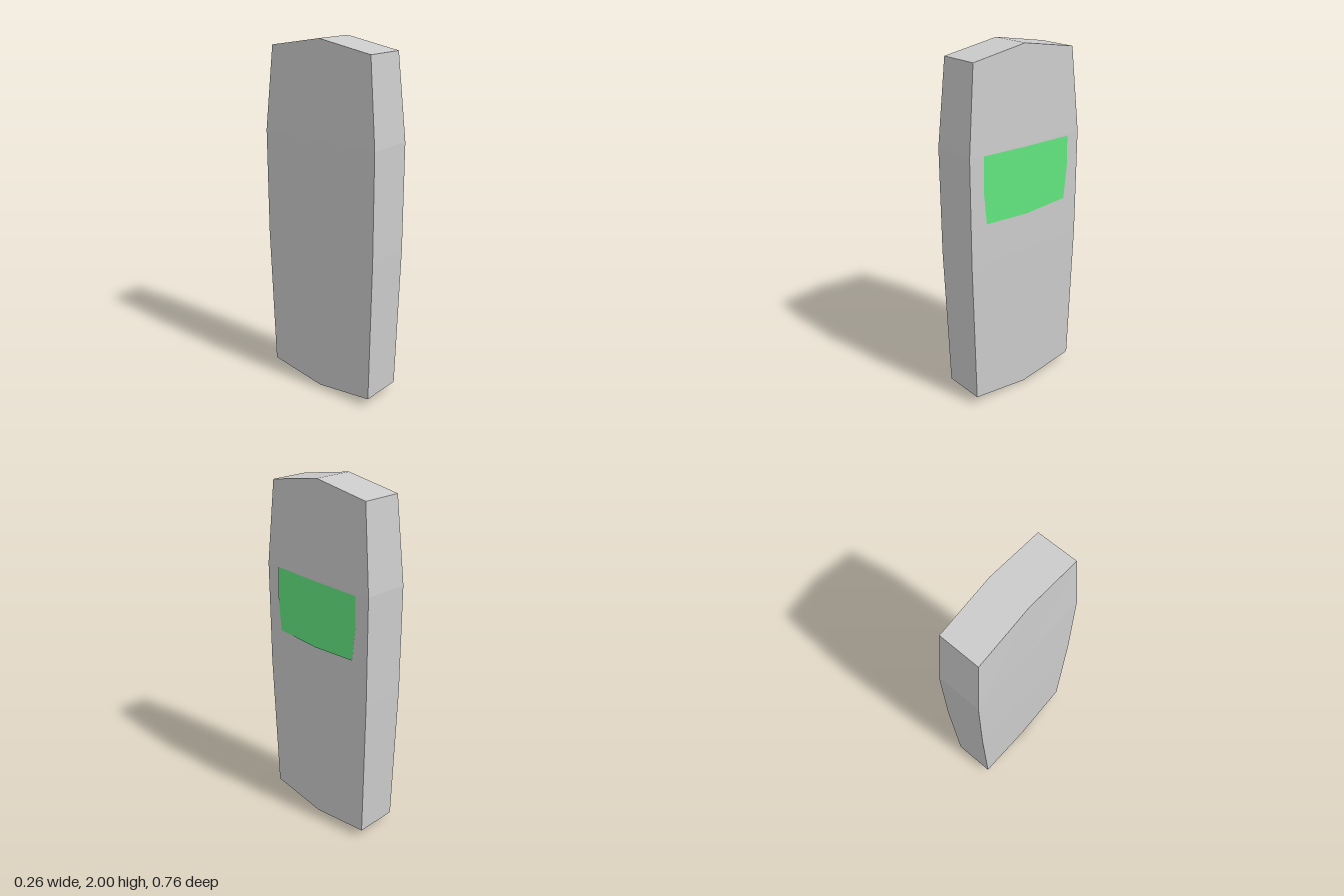
import * as THREE from 'three';

// Cross-sections from bottom to top: [edge y, centre y, half depth z, half thickness x]
const SECTIONS = [
  [0.05, 0, 0.358, 0.121],
  [0.88, 0.88, 0.38, 0.129],
  [1.48, 1.48, 0.38, 0.129],
  [1.945, 2, 0.334, 0.113],
];
const CENTRE_X = -0.004;

// Six-sided rings joined into a closed, faceted slab
function slabGeometry() {
  const positions = [];
  const index = [];
  for (const [edgeY, midY, z, x] of SECTIONS) {
    positions.push(
      CENTRE_X + x, edgeY, z, CENTRE_X + x, midY, 0, CENTRE_X + x, edgeY, -z,
      CENTRE_X - x, edgeY, -z, CENTRE_X - x, midY, 0, CENTRE_X - x, edgeY, z,
    );
  }
  const quad = (a, b, c, d) => index.push(a, b, c, a, c, d);
  for (let row = 0; row < SECTIONS.length - 1; row++) {
    for (let i = 0; i < 6; i++) {
      const a = row * 6 + i;
      const b = row * 6 + (i + 1) % 6;
      quad(a, b, b + 6, a + 6);
    }
  }
  // Shallow peaked ends
  const t = (SECTIONS.length - 1) * 6;
  quad(t, t + 1, t + 4, t + 5);
  quad(t + 1, t + 2, t + 3, t + 4);
  quad(5, 4, 1, 0);
  quad(4, 3, 2, 1);

  const geometry = new THREE.BufferGeometry();
  geometry.setAttribute('position', new THREE.Float32BufferAttribute(positions, 3));
  geometry.setIndex(index);
  const flat = geometry.toNonIndexed();
  flat.computeVertexNormals();
  return flat;
}

export function createModel() {
  const group = new THREE.Group();
  group.name = 'shieldPanel';

  const body = new THREE.Mesh(
    slabGeometry(),
    new THREE.MeshStandardMaterial({ color: 0xcccccc, flatShading: true }),
  );
  body.name = 'body';
  group.add(body);

  // Thin coloured window on the left face, outlined as [-z, y]
  const outline = [
    [-0.28, 1.105], [0, 1.09], [0.278, 1.107], [0.298, 1.29],
    [0.296, 1.468], [0, 1.47], [-0.292, 1.477], [-0.297, 1.29],
  ];
  const shape = new THREE.Shape(outline.map(([u, y]) => new THREE.Vector2(u, y)));
  const pane = new THREE.ShapeGeometry(shape).rotateY(Math.PI / 2).translate(0.13, 0, 0);
  const viewWindow = new THREE.Mesh(
    pane,
    new THREE.MeshStandardMaterial({ color: 0x62e67f, side: THREE.DoubleSide }),
  );
  viewWindow.name = 'window';
  group.add(viewWindow);

  return group;
}
